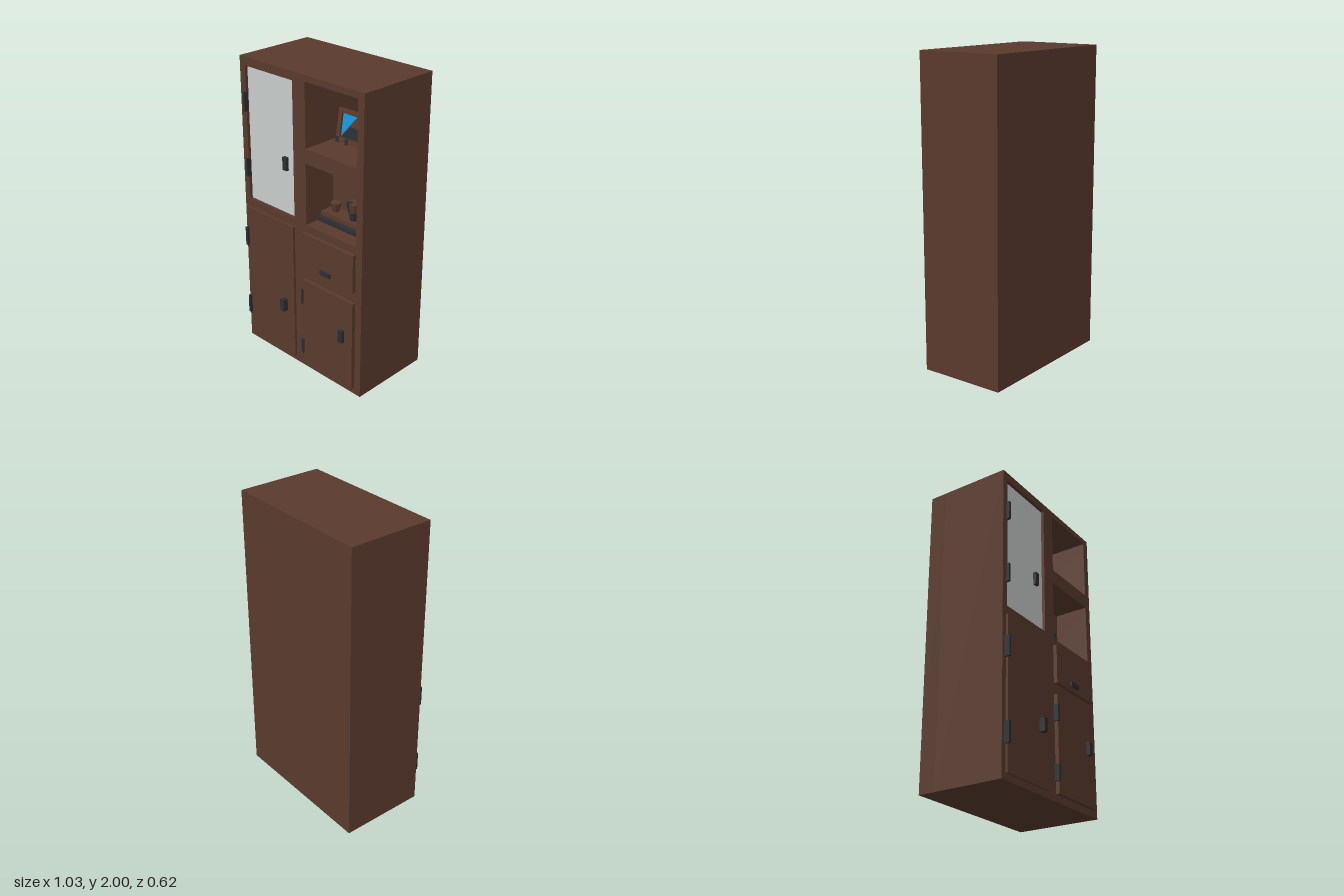
import * as THREE from 'three';

const mat = (name, color) => {
  const m = new THREE.MeshStandardMaterial({ color });
  m.name = name;
  return m;
};

export function createModel() {
  const wood = mat('brown wood', 0x5a3a2d);
  const metal = mat('dark metal', 0x2d2e30);
  const glass = mat('pale glass', 0xc9cecb);
  const blue = mat('picture blue', 0x1298df);
  const cabinet = new THREE.Group();
  cabinet.name = 'cabinet';

  const add = (name, geometry, material, parent = cabinet) => {
    const mesh = new THREE.Mesh(geometry, material);
    mesh.name = name;
    parent.add(mesh);
    return mesh;
  };
  // Box given by its limits on each axis
  const box = (name, material, x0, x1, y0, y1, z0, z1, parent) => {
    const mesh = add(name, new THREE.BoxGeometry(x1 - x0, y1 - y0, z1 - z0), material, parent);
    mesh.position.set((x0 + x1) / 2, (y0 + y1) / 2, (z0 + z1) / 2);
    return mesh;
  };
  const polygon = (points) => new THREE.Shape(points.map(([x, y]) => new THREE.Vector2(x, y)));
  const rect = (x0, x1, y0, y1) => polygon([[x0, y0], [x1, y0], [x1, y1], [x0, y1]]);

  // Carcass with openings for the glass door and the two niches
  const front = rect(-0.515, 0.515, 0, 2);
  front.holes.push(
    rect(-0.47, -0.055, 1.06, 1.945),
    rect(0.05, 0.465, 1.55, 1.96),
    rect(0.05, 0.465, 1.05, 1.455),
  );
  const carcass = add('carcass', new THREE.ExtrudeGeometry(front, { depth: 0.46, bevelEnabled: false }), wood);
  carcass.position.z = -0.2;
  box('backPanel', wood, -0.515, 0.515, 0, 2, -0.31, -0.2);
  box('lowerNicheBack', wood, 0.05, 0.465, 1.05, 1.455, -0.2, 0.03);

  // Doors and drawer
  box('glassPane', glass, -0.47, -0.055, 1.06, 1.945, 0.22, 0.24);
  box('leftDoor', wood, -0.48, -0.055, 0.04, 1.0, 0.255, 0.275);
  box('rightDoor', wood, 0.035, 0.465, 0.045, 0.67, 0.255, 0.285);
  box('drawer', wood, 0.035, 0.465, 0.745, 1.0, 0.255, 0.285);

  // Handles
  box('glassDoorHandle', metal, -0.155, -0.12, 1.355, 1.44, 0.235, 0.26);
  box('leftDoorHandle', metal, -0.155, -0.12, 0.37, 0.455, 0.27, 0.31);
  box('rightDoorHandle', metal, 0.365, 0.4, 0.37, 0.455, 0.28, 0.31);
  box('drawerHandle', metal, 0.195, 0.28, 0.775, 0.805, 0.28, 0.295);

  // Hinges: left edge, bottom, top, front
  [
    [-0.48, 1.655, 1.78, 0.28], [-0.48, 1.22, 1.34, 0.28],
    [-0.493, 0.725, 0.855, 0.293], [-0.493, 0.205, 0.335, 0.293],
    [0.025, 0.495, 0.6, 0.293], [0.025, 0.12, 0.225, 0.293],
  ].forEach(([x, y0, y1, z]) => box('hinge', metal, x, x + 0.017, y0, y1, 0.25, z));

  // Framed picture leaning back in the upper niche
  const picture = new THREE.Group();
  picture.name = 'framedPicture';
  picture.position.set(0.243, 1.555, 0.05);
  picture.rotation.x = -0.15;
  cabinet.add(picture);
  const border = rect(-0.143, 0.143, 0.005, 0.208);
  border.holes.push(rect(-0.115, 0.115, 0.035, 0.183));
  const frame = add('pictureFrame', new THREE.ExtrudeGeometry(border, { depth: 0.02, bevelEnabled: false }), wood, picture);
  frame.position.z = -0.01;
  box('pictureBacking', wood, -0.143, 0.143, 0.005, 0.208, -0.015, -0.008, picture);
  box('pictureStand', metal, -0.06, -0.02, 0, 0.18, -0.03, -0.015, picture);
  [
    ['leftSky', blue, [[-0.115, 0.04], [0, 0.183], [-0.115, 0.183]]],
    ['rightSky', blue, [[0.005, 0.11], [0.115, 0.11], [0.112, 0.183], [0.033, 0.183]]],
    ['pictureGround', metal, [[-0.115, 0.035], [0.115, 0.035], [0.115, 0.109], [-0.05, 0.109]]],
  ].forEach(([name, material, points]) => {
    add(name, new THREE.ShapeGeometry(polygon(points)), material, picture).position.z = -0.004;
  });
  for (const x of [-0.13, -0.055]) box('pictureFoot', metal, x - 0.012, x + 0.012, 0, 0.035, 0.009, 0.013, picture);

  // Stepped tray in the lower niche
  box('trayBase', metal, 0.052, 0.463, 1.05, 1.077, 0.03, 0.165);
  box('trayBoard', wood, 0.052, 0.463, 1.077, 1.105, 0.03, 0.135);
  box('trayClip', metal, 0.36, 0.405, 1.08, 1.102, 0.134, 0.138);

  // Tapered six-sided cups, the large one made of contrasting quarters
  const cup = (name, x, z, rTop, rBottom, height, paint) => {
    const group = new THREE.Group();
    group.name = name;
    group.position.set(x, 1.105, z);
    cabinet.add(group);
    const rMid = (rTop + rBottom) / 2;
    for (let band = 0; band < 2; band++) {
      for (let q = 0; q < 4; q++) {
        const g = new THREE.CylinderGeometry(band ? rTop : rMid, band ? rMid : rBottom, height / 2, 2, 1,
          false, q * Math.PI / 2, Math.PI / 2).toNonIndexed();
        g.computeVertexNormals();
        add('cupFacet', g, paint(band, q), group).position.y = height * (0.25 + band / 2);
      }
    }
  };
  cup('smallCup', 0.122, 0.075, 0.034, 0.02, 0.06, () => wood);
  cup('largeCup', 0.283, 0.085, 0.047, 0.027, 0.115,
    (band, q) => ((band === 1 && q === 3) || (band === 0 && q === 0) ? metal : wood));

  return cabinet;
}
